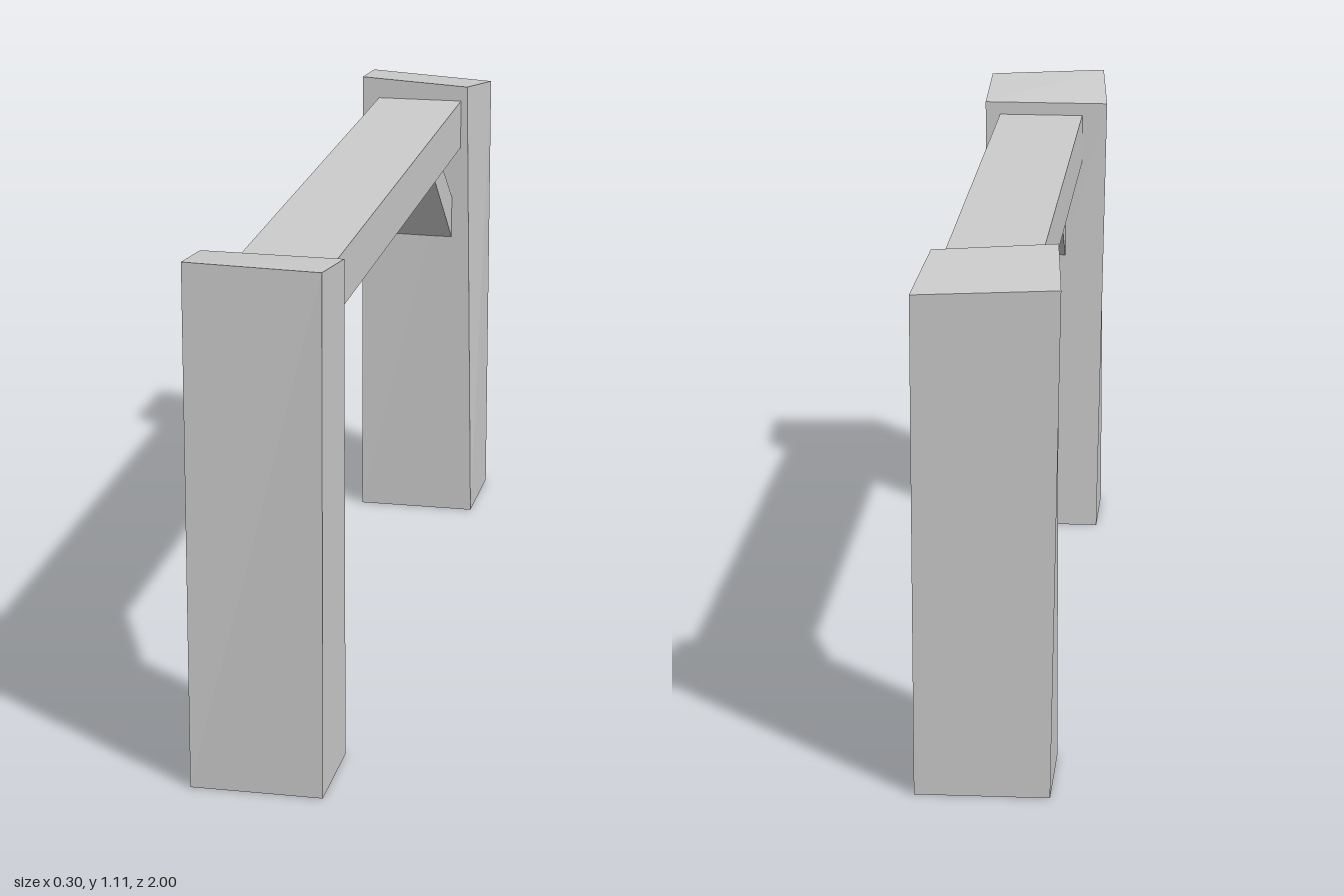
import * as THREE from 'three';

const material = new THREE.MeshStandardMaterial({ color: 0xcccccc, side: THREE.DoubleSide });

// Four-sided timber between two rings of corners, optionally closed at the end ring.
function timber(name, start, end, capped = false) {
  const quads = start.map((p, i) => {
    const j = (i + 1) % 4;
    return [p, start[j], end[j], end[i]];
  });
  if (capped) quads.push(end);
  const points = quads.flatMap(([a, b, c, d]) => [a, b, c, a, c, d]).flat();
  const geometry = new THREE.BufferGeometry();
  geometry.setAttribute('position', new THREE.Float32BufferAttribute(points, 3));
  geometry.computeVertexNormals();
  const mesh = new THREE.Mesh(geometry, material);
  mesh.name = name;
  return mesh;
}

// Rectangular ring on the ground, for the foot of a post.
const foot = (z0, z1) => [[-0.13, 0, z1], [0.145, 0, z1], [0.145, 0, z0], [-0.13, 0, z0]];

// Slanted brace from a post face (z = post) to the underside of the beam.
function brace(name, post, low, high, nearZ, farZ) {
  const [a, b] = post > 0 ? [0.09, -0.05] : [-0.05, 0.09];
  return timber(name,
    [[a, low, post], [b, low, post], [b, high, post], [a, high, post]],
    [[a, 0.925, nearZ], [b, 0.925, nearZ], [b, 0.925, farZ], [a, 0.925, farZ]]);
}

export function createModel() {
  const model = new THREE.Group();
  model.name = 'timberFrame';

  // Hollow posts with crooked, sloping tops
  model.add(timber('frontPost', foot(0.765, 0.99), [
    [-0.13, 1.11, 1.0], [0.145, 1.1, 0.985], [0.145, 1.07, 0.775], [-0.15, 1.07, 0.77],
  ], true));
  model.add(timber('backPost', foot(-0.99, -0.76), [
    [-0.13, 1.09, -0.76], [0.125, 1.075, -0.765], [0.145, 1.04, -0.995], [-0.15, 1.055, -1.0],
  ], true));

  // Cross beam
  const beamRing = (z) => [[-0.09, 0.925, z], [0.11, 0.925, z], [0.11, 1.04, z], [-0.09, 1.04, z]];
  model.add(timber('beam', beamRing(-0.768), beamRing(0.776)));

  // Corner braces
  model.add(brace('frontBrace', 0.772, 0.69, 0.79, 0.5, 0.62));
  model.add(brace('backBrace', -0.765, 0.7, 0.8, -0.5, -0.61));

  return model;
}
